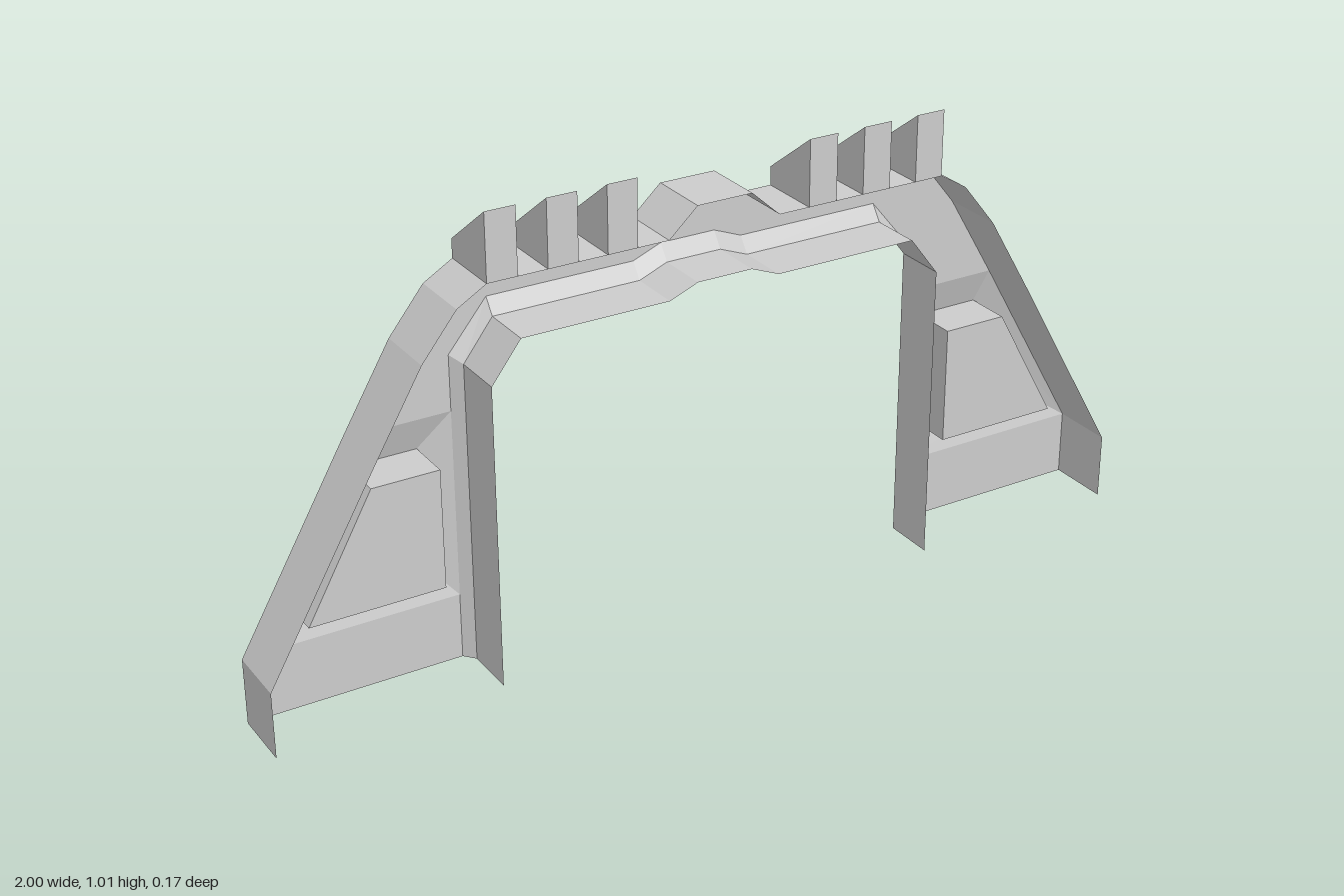
import * as THREE from 'three';

const BACK = -0.058, FRONT = 0.083, CREST = -0.083, PANEL = 0.02, CREASE = -0.034;

const material = new THREE.MeshStandardMaterial({
  color: 0xcccccc, flatShading: true, side: THREE.DoubleSide,
});

// Half outlines [x, y] from the foot to the middle; mirrored into full arches.
const outerHalf = [[1, 0], [1, 0.145], [0.765, 0.555], [0.656, 0.74], [0.58, 0.835],
  [0.517, 0.872], [0.126, 0.872], [0.062, 0.93]];
const innerHalf = [[0.515, 0], [0.515, 0.66], [0.45, 0.745], [0.125, 0.745], [0.062, 0.77]];
const chamferHalf = [[0.535, 0], [0.535, 0.555], [0.535, 0.675], [0.45, 0.778], [0.125, 0.778], [0.062, 0.803]];

const flip = (pts) => pts.map(([x, y]) => [-x, y]);
const arch = (half) => [...half, ...flip(half).reverse()];
const at = (pts, z) => pts.map(([x, y]) => [x, y, z]);

// Joins successive 3D outlines of equal length with quads.
function skin(rows, closed = false) {
  const pos = [];
  for (let r = 0; r < rows.length - 1; r++) {
    const a = rows[r], b = rows[r + 1], n = a.length;
    for (let i = 0; i < (closed ? n : n - 1); i++) {
      const j = (i + 1) % n;
      pos.push(...a[i], ...a[j], ...b[j], ...a[i], ...b[j], ...b[i]);
    }
  }
  const g = new THREE.BufferGeometry();
  g.setAttribute('position', new THREE.Float32BufferAttribute(pos, 3));
  g.computeVertexNormals();
  return g;
}

// Flat plate filling an outline at depth z.
function plate(pts, z) {
  const shape = new THREE.Shape(pts.map(([x, y]) => new THREE.Vector2(x, y)));
  return new THREE.ShapeGeometry(shape).translate(0, 0, z);
}

export function createModel() {
  const group = new THREE.Group();
  const add = (name, geometry) => {
    const mesh = new THREE.Mesh(geometry, material);
    mesh.name = name;
    group.add(mesh);
    return mesh;
  };

  // Back plate above the leg panels
  const top = arch(outerHalf.slice(2));
  const under = arch(chamferHalf.slice(1)).reverse();
  add('archBackPlate', plate([...top, ...under], BACK));

  // Outer rim, and inner rim with its chamfered back edge
  const outer = arch(outerHalf);
  add('outerRim', skin([at(outer, BACK), at(outer, FRONT)]));
  const inner = arch(innerHalf);
  add('innerRim', skin([at(inner, CREASE), at(inner, FRONT)]));
  const chamfer = arch(chamferHalf.filter(([, y]) => y !== 0.555));
  add('innerChamfer', skin([at(chamfer, BACK), at(inner, CREASE)]));

  for (const side of [1, -1]) {
    const mirror = (pts) => (side > 0 ? pts : flip(pts));
    const label = side > 0 ? 'left' : 'right';

    // Foot plate
    add(label + 'FootPlate', plate(mirror([[1, 0], [1, 0.145], [0.535, 0.145], [0.535, 0]]), BACK));

    // Raised bevel around a deep recess in the leg
    const base = mirror([[1, 0.145], [0.765, 0.555], [0.535, 0.555], [0.535, 0.145]]);
    const rim = mirror([[0.89, 0.22], [0.745, 0.48], [0.6, 0.48], [0.6, 0.22]]);
    add(label + 'LegBevel', skin([at(base, BACK), at(rim, CREST)], true));
    add(label + 'RecessWalls', skin([at(rim, CREST), at(rim, PANEL)], true));
    add(label + 'RecessPanel', plate(rim, PANEL));

    // Wedge teeth along the top
    const wedge = new THREE.Shape([[-FRONT, 0.872], [-BACK, 0.872], [-BACK, 0.912], [-FRONT, 1.015]]
      .map(([x, y]) => new THREE.Vector2(x, y)));
    for (let i = 0; i < 3; i++) {
      const tooth = new THREE.ExtrudeGeometry(wedge, { depth: 0.065, bevelEnabled: false });
      tooth.translate(0, 0, -0.0325).rotateY(Math.PI / 2);
      add(label + 'Tooth' + (i + 1), tooth).position.x = side * (0.4845 - i * 0.1285);
    }
  }
  return group;
}
